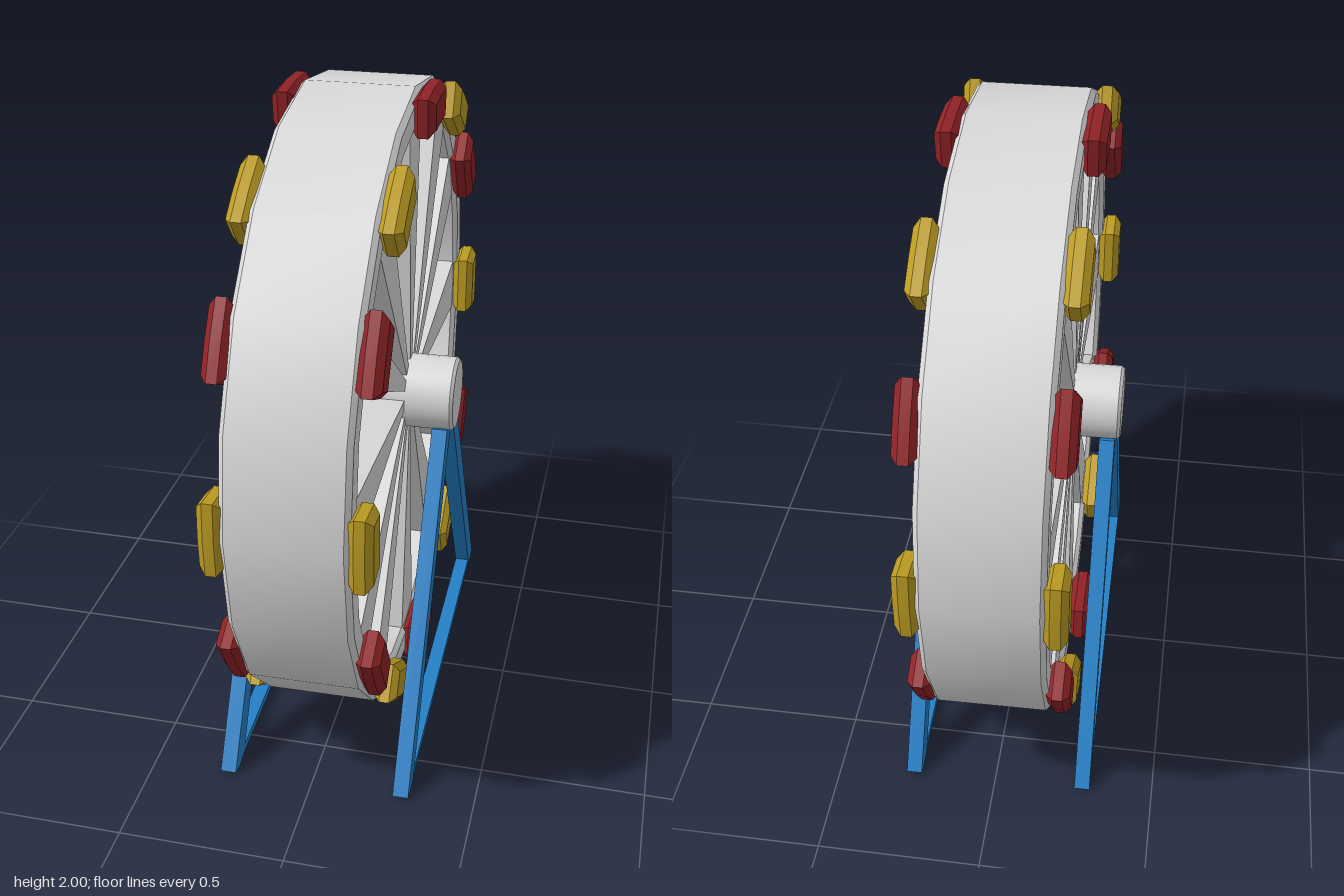
import * as THREE from 'three';
import { toCreasedNormals } from 'three/addons/utils/BufferGeometryUtils.js';

const material = (name, color) => {
  const m = new THREE.MeshStandardMaterial({ color });
  m.name = name;
  return m;
};

export function createModel() {
  const white = material('white', 0xd9d9d9);
  const red = material('red', 0x8f2226);
  const gold = material('gold', 0xbb9b22);
  const blue = material('blue', 0x2580c6);

  const HUB_Y = 1.04, R = 0.96, SIDES = 20;
  const model = new THREE.Group();
  model.name = 'ferrisWheel';
  model.rotation.y = 0.014; // slight turn of the whole ride

  const add = (parent, name, geometry, mat) => {
    const mesh = new THREE.Mesh(geometry, mat);
    mesh.name = name;
    parent.add(mesh);
    return mesh;
  };
  const polar = (r, a) => new THREE.Vector2(r * Math.sin(a), r * Math.cos(a));

  // Extrudes a side-on outline across x, from x0 to x1, with a chamfer
  const slab = (shape, x0, x1, bevel = 0) => {
    const g = new THREE.ExtrudeGeometry(shape, {
      depth: x1 - x0 - 2 * bevel, bevelEnabled: bevel > 0, bevelSegments: 1,
      bevelThickness: bevel, bevelSize: bevel, bevelOffset: -bevel, curveSegments: 1,
    });
    g.translate(0, 0, x0 + bevel);
    g.rotateY(Math.PI / 2);
    return toCreasedNormals(g, 0.5);
  };

  const wheel = new THREE.Group();
  wheel.name = 'wheel';
  wheel.position.y = HUB_Y;
  model.add(wheel);

  // Rim: faceted ring with chamfered edges
  const ring = r => Array.from({ length: SIDES }, (_, i) => polar(r, -i * 2 * Math.PI / SIDES));
  const rimShape = new THREE.Shape(ring(R));
  rimShape.holes.push(new THREE.Path(ring(0.865).reverse()));
  add(wheel, 'rim', slab(rimShape, -0.175, 0.175, 0.015), white);

  // Hub: chamfered drum
  const hubProfile = [[0, -0.31], [0.106, -0.31], [0.115, -0.3], [0.115, 0.3], [0.106, 0.31], [0, 0.31]]
    .map(([r, y]) => new THREE.Vector2(r, y));
  const hub = toCreasedNormals(new THREE.LatheGeometry(hubProfile, 32), 0.5);
  hub.rotateZ(Math.PI / 2);
  add(wheel, 'hub', hub, white);

  // Spokes and cars share twelve stations around the wheel
  const spoke = slab(new THREE.Shape([
    new THREE.Vector2(-0.012, 0.06), new THREE.Vector2(0.012, 0.06),
    new THREE.Vector2(0.092, 0.885), new THREE.Vector2(-0.092, 0.885),
  ]), -0.162, 0.162);

  const half = 0.117;
  const car = slab(new THREE.Shape([
    polar(0.845, -half), polar(0.84, 0), polar(0.845, half),
    polar(R, half), polar(R, 0), polar(R, -half),
  ]), 0.165, 0.235, 0.02);

  const quarter = [0, 32.2, 57.8];
  const stations = [0, 90, 180, 270].flatMap(base => {
    const mirrored = base % 180 !== 0;
    return quarter.map(a => base + (mirrored && a ? 90 - (90 - a) : a));
  });
  stations.forEach((degrees, i) => {
    const a = THREE.MathUtils.degToRad(degrees);
    const station = new THREE.Group();
    station.name = 'station' + (i + 1);
    station.rotation.x = a;
    wheel.add(station);
    add(station, 'spoke', spoke, white);
    const paint = i % 2 ? gold : red;
    add(station, 'leftCar', car, paint);
    add(station, 'rightCar', car, paint).rotation.y = Math.PI;
  });

  // Support frames: two sloping legs and a ground bar on each side
  for (const side of [1, -1]) {
    const frame = new THREE.Group();
    frame.name = side > 0 ? 'leftFrame' : 'rightFrame';
    frame.position.x = side * 0.27;
    model.add(frame);
    for (const s of [1, -1]) {
      const leg = slab(new THREE.Shape([
        new THREE.Vector2(s * 0.69, 0.012), new THREE.Vector2(s * 0.655, 0),
        new THREE.Vector2(s * 0.6, 0.008), new THREE.Vector2(s * 0.025, 0.935),
        new THREE.Vector2(s * 0.095, 0.96),
      ]), -0.024, 0.024);
      add(frame, s > 0 ? 'backLeg' : 'frontLeg', leg, blue);
    }
    const bar = new THREE.BoxGeometry(0.046, 0.026, 1.24);
    bar.translate(0, 0.021, 0);
    add(frame, 'groundBar', bar, blue);
  }

  return model;
}
